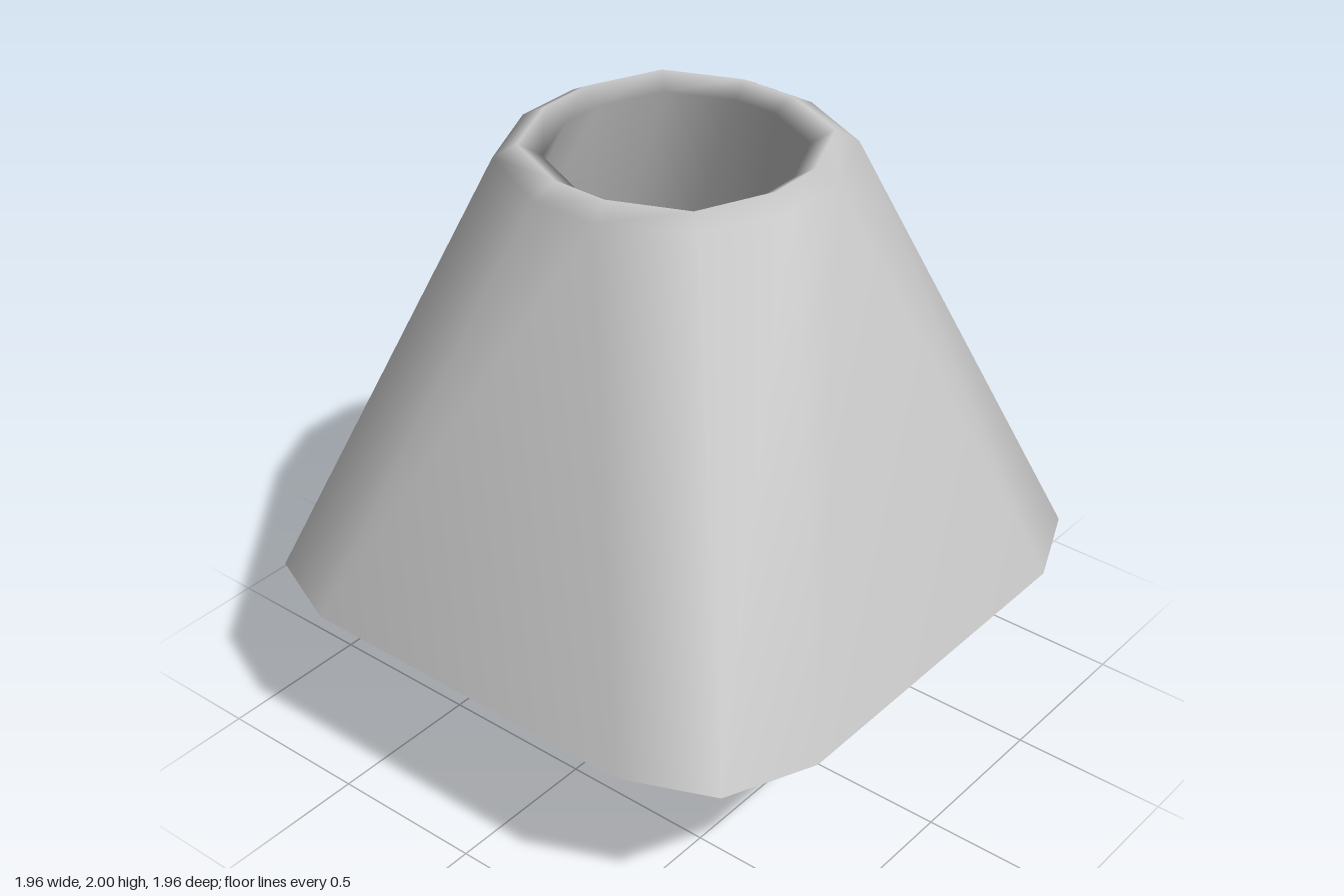
import * as THREE from 'three';

const grey = new THREE.MeshStandardMaterial({ color: 0xcccccc });
const dark = new THREE.MeshStandardMaterial({ color: 0x555555 });

// Twelve-point rounded square: half width h, half flat a, corner c
function ring([y, h, a, c]) {
  const points = [];
  for (let q = 0; q < 4; q++) {
    const cos = [1, 0, -1, 0][q], sin = [0, 1, 0, -1][q];
    for (const [x, z] of [[h, -a], [h, a], [c, c]]) {
      points.push(x * cos - z * sin, y, x * sin + z * cos);
    }
  }
  return points;
}

// Closed shell through a loop of rings
function loftLoop(rings) {
  const n = 12, index = [];
  for (let i = 0; i < rings.length; i++) {
    const k = (i + 1) % rings.length;
    for (let j = 0; j < n; j++) {
      const m = (j + 1) % n;
      const a = i * n + j, b = k * n + j, c = k * n + m, d = i * n + m;
      index.push(a, b, d, b, c, d);
    }
  }
  const geometry = new THREE.BufferGeometry();
  geometry.setAttribute('position', new THREE.Float32BufferAttribute(rings.flatMap(ring), 3));
  geometry.setIndex(index);
  geometry.computeVertexNormals();
  return geometry;
}

export function createModel() {
  const lamp = new THREE.Group();
  lamp.name = 'tableLamp';
  const add = (name, geometry, material, y = 0) => {
    const mesh = new THREE.Mesh(geometry, material);
    mesh.name = name;
    mesh.position.y = y;
    lamp.add(mesh);
  };

  // Thick shade: square at the bottom, nearly round at the top
  add('shade', loftLoop([
    [0.56, 0.91, 0.52, 0.79],
    [0.60, 0.98, 0.58, 0.86],
    [1.96, 0.49, 0.11, 0.37],
    [2.00, 0.42, 0.09, 0.32],
    [1.96, 0.36, 0.07, 0.27],
    [0.60, 0.82, 0.43, 0.72],
  ]), grey);

  // Ball base with a flattened foot
  const profile = [[0, 0], [0.3, 0], [0.37, 0.04]];
  for (let i = -1; i <= 4; i++) {
    const t = i * Math.PI / 8;
    profile.push([Math.max(0, 0.49 * Math.cos(t)), 0.33 + 0.49 * Math.sin(t)]);
  }
  add('base', new THREE.LatheGeometry(profile.map(([r, y]) => new THREE.Vector2(r, y)), 16), grey);

  // Neck and bulb inside the shade
  add('neck', new THREE.CylinderGeometry(0.127, 0.127, 0.25, 8), dark, 0.87);
  add('bulb', new THREE.SphereGeometry(0.25, 8, 8), dark, 1.13);

  return lamp;
}
